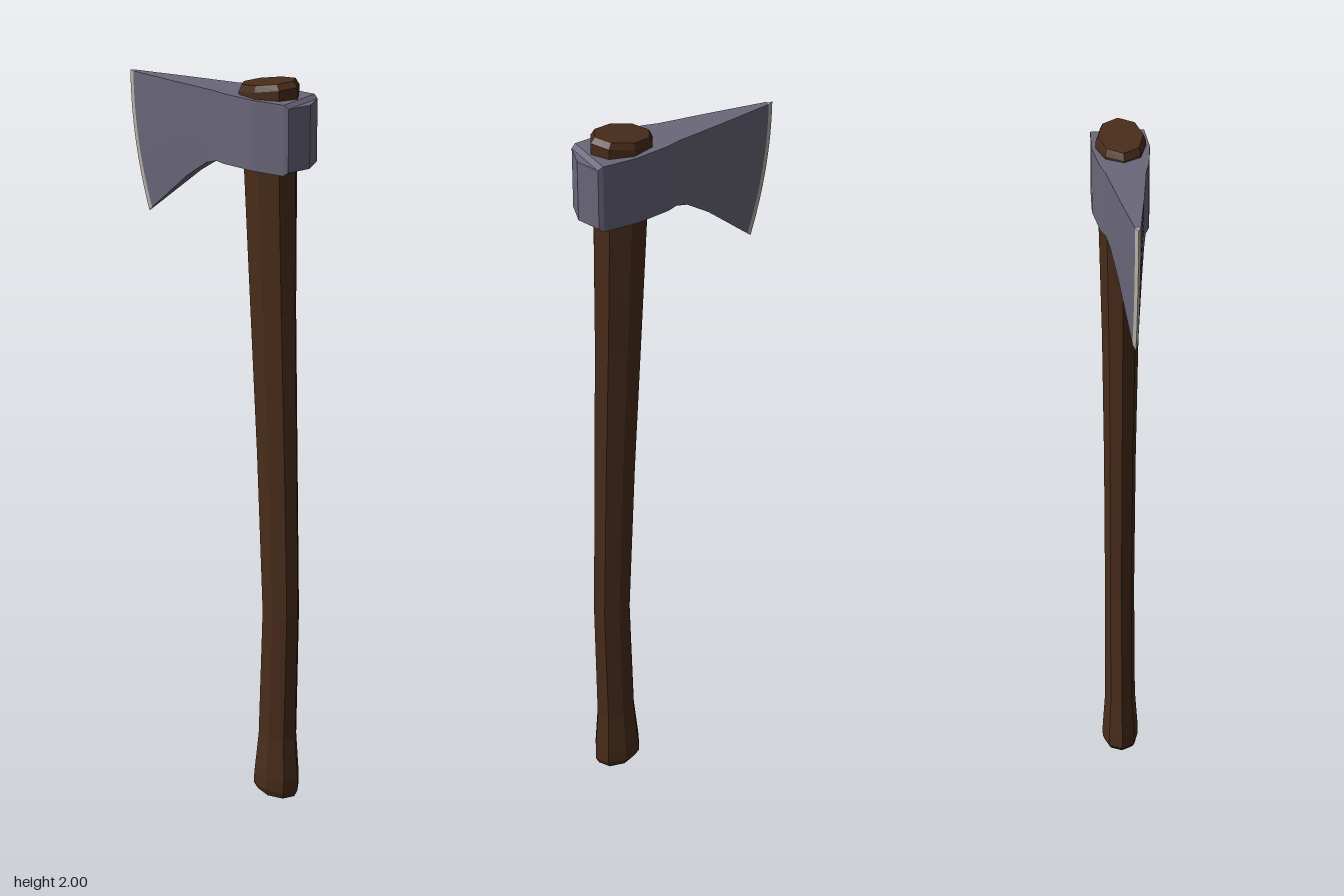
import * as THREE from 'three';

// Skin a list of equal-length rings of [x, y, z] points, optionally closing both ends.
function loft(rings, caps) {
  const pos = [];
  const tri = (...pts) => pts.forEach((p) => pos.push(...p));
  const n = rings[0].length;
  for (let i = 0; i < rings.length - 1; i++) {
    for (let j = 0; j < n; j++) {
      const k = (j + 1) % n;
      const a = rings[i][j], b = rings[i][k], c = rings[i + 1][k], d = rings[i + 1][j];
      tri(a, d, c);
      tri(a, c, b);
    }
  }
  if (caps) {
    const first = rings[0], last = rings[rings.length - 1];
    for (let j = 1; j < n - 1; j++) {
      tri(first[0], first[j], first[j + 1]);
      tri(last[0], last[j + 1], last[j]);
    }
  }
  const geometry = new THREE.BufferGeometry();
  geometry.setAttribute('position', new THREE.Float32BufferAttribute(pos, 3));
  geometry.computeVertexNormals();
  return geometry;
}

// Octagonal handle section; tilt raises the front of the ring.
function handleRing([y, back, front, halfWidth, tilt = 0]) {
  const ring = [];
  for (let j = 0; j < 8; j++) {
    const a = (j / 8) * Math.PI * 2, s = Math.sin(a);
    ring.push([
      Math.cos(a) * halfWidth,
      y + tilt * s,
      (front + back) / 2 + (s * (front - back)) / 2,
    ]);
  }
  return ring;
}

// Upright head section: down the right side, then up the left side.
const LEVELS = 8;
function headRing([zTop, yTop, zBottom, yBottom, halfWidth, bulge = 0]) {
  const side = (sign) => Array.from({ length: LEVELS + 1 }, (_, i) => {
    const t = i / LEVELS;
    return [
      sign * halfWidth,
      THREE.MathUtils.lerp(yTop, yBottom, t),
      THREE.MathUtils.lerp(zTop, zBottom, t) - bulge * 4 * t * (1 - t),
    ];
  });
  return [...side(-1), ...side(1).reverse()];
}

export function createModel() {
  const group = new THREE.Group();
  const add = (name, geometry, color) => {
    const mesh = new THREE.Mesh(
      geometry, new THREE.MeshStandardMaterial({ color, flatShading: true }));
    mesh.name = name;
    group.add(mesh);
  };

  // Curved wooden handle: y, back z, front z, half width, tilt
  const handle = [
    [0.006, 0.14, 0.255, 0.044, -0.004],
    [0.025, 0.125, 0.265, 0.051, -0.003],
    [0.06, 0.127, 0.265, 0.051],
    [0.18, 0.14, 0.256, 0.043],
    [0.55, 0.15, 0.26, 0.041],
    [1.0, 0.128, 0.25, 0.043],
    [1.4, 0.105, 0.24, 0.048],
    [1.78, 0.085, 0.236, 0.057],
    [1.96, 0.069, 0.24, 0.063],
    [1.972, 0.069, 0.24, 0.063, 0.013],
    [1.988, 0.078, 0.228, 0.057, 0.011],
  ];
  add('handle', loft(handle.map(handleRing), true), 0x4a2d1b);

  // Head from poll to blade: top z, top y, bottom z, bottom y, half width, bulge
  const bevel = [-0.262, 1.955, -0.206, 1.601, 0.007, 0.014];
  const edge = [-0.277, 1.955, -0.22, 1.588, 0, 0.014];
  const head = [
    [0.278, 1.946, 0.278, 1.784, 0],
    [0.257, 1.946, 0.257, 1.784, 0.064],
    [0.245, 1.955, 0.245, 1.775, 0.068],
    [0.155, 1.955, 0.155, 1.775, 0.073],
    [0.06, 1.955, 0.06, 1.775, 0.061],
    [0.02, 1.955, 0.03, 1.775, 0.05],
    [-0.03, 1.955, -0.005, 1.764, 0.043],
    [-0.12, 1.955, -0.075, 1.715, 0.03, 0.004],
    bevel,
  ];
  add('axeHead', loft(head.map(headRing), false), 0x6a677a);

  // Sharpened strip along the blade
  add('cuttingEdge', loft([bevel, edge].map(headRing), false), 0xb8b2a8);

  return group;
}
